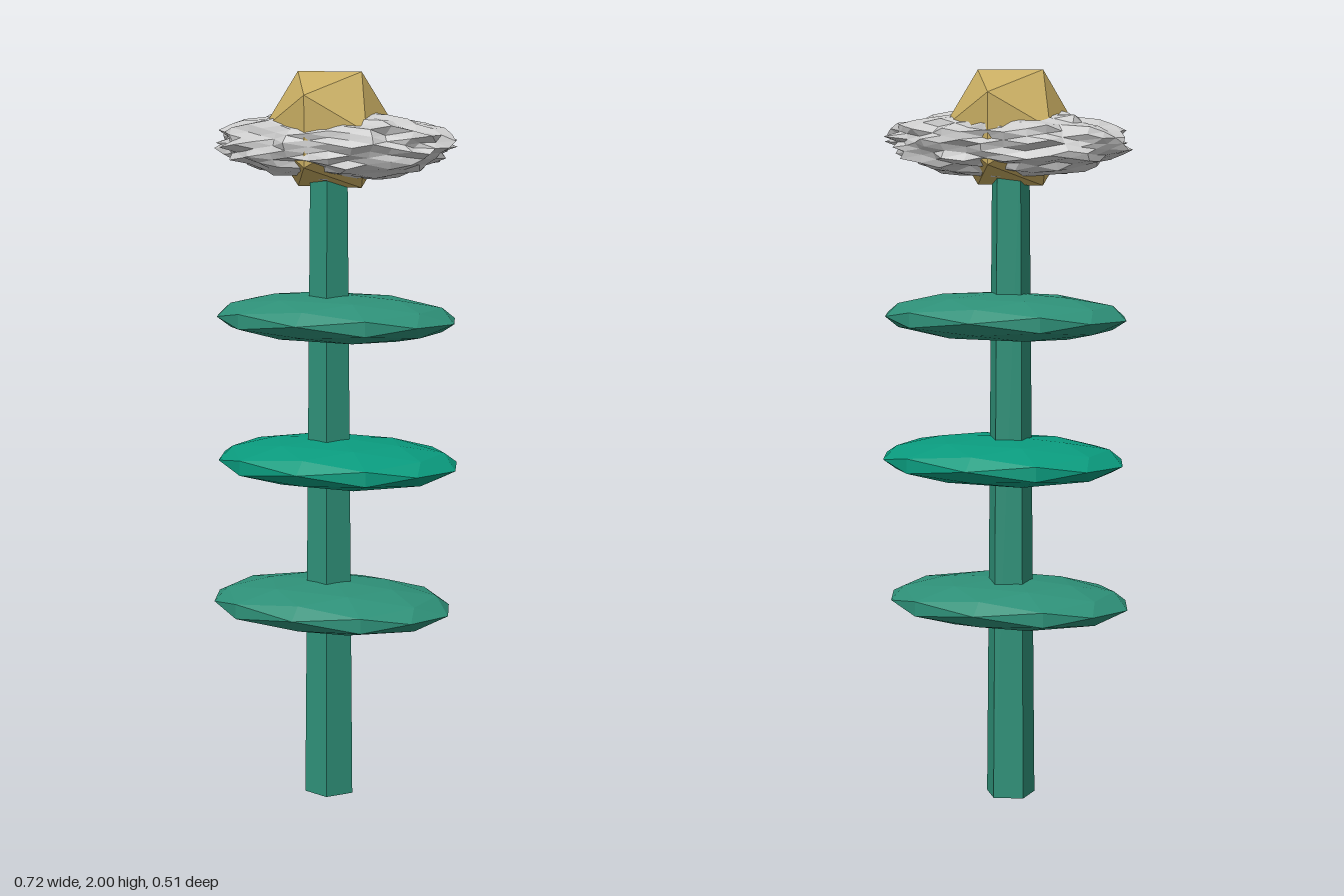
import * as THREE from 'three';
import { mergeVertices } from 'three/addons/utils/BufferGeometryUtils.js';

const AXIS_X = -0.0125;

const flat = (color) => new THREE.MeshStandardMaterial({ color, flatShading: true });

function add(group, name, geometry, material, x, y, z = 0) {
  const mesh = new THREE.Mesh(geometry, material);
  mesh.name = name;
  mesh.position.set(x, y, z);
  group.add(mesh);
  return mesh;
}

// Unit faceted ball whose shared corners are moved by a rule, then stretched
function shapedBall(detail, rule, sx, sy, sz) {
  const raw = new THREE.IcosahedronGeometry(1, detail);
  raw.deleteAttribute('normal');
  raw.deleteAttribute('uv');
  const ball = mergeVertices(raw, 1e-3);
  const pos = ball.attributes.position;
  const v = new THREE.Vector3();
  for (let i = 0; i < pos.count; i++) {
    rule(v.fromBufferAttribute(pos, i));
    pos.setXYZ(i, v.x * sx, v.y * sy, v.z * sz);
  }
  const out = ball.toNonIndexed();
  out.computeVertexNormals();
  return out;
}

// Small seeded generator
function seeded(seed) {
  let s = seed;
  return () => {
    s = (s * 16807) % 2147483647;
    return s / 2147483647;
  };
}

export function createModel() {
  const model = new THREE.Group();
  model.name = 'spikyFlower';
  const green = flat(0x2e9078);
  const emerald = flat(0x0a9b7e);

  // Tapered five-sided stem, one corner towards +x
  const stem = new THREE.CylinderGeometry(0.053, 0.07, 1.8, 5);
  stem.rotateY(Math.PI / 2);
  add(model, 'stem', stem, green, AXIS_X, 0.9);

  // Three flattened leaf discs, each slightly off the stem axis
  const widenRim = (v) => {
    if (Math.abs(v.y) > 0.2 && Math.abs(v.y) < 0.4) {
      v.x *= 1.07;
      v.z *= 1.07;
    }
  };
  const discs = [
    { name: 'lowerLeafDisc', x: 0, y: 0.545, z: 0.016, depth: 0.241, material: green },
    { name: 'middleLeafDisc', x: 0.01, y: 0.942, z: -0.002, depth: 0.251, material: emerald },
    { name: 'upperLeafDisc', x: -0.002, y: 1.337, z: -0.014, depth: 0.241, material: green },
  ];
  for (const d of discs) {
    add(model, d.name, shapedBall(1, widenRim, 0.352, 0.066, d.depth), d.material, d.x, d.y, d.z);
  }

  // Long spiky flower head, pointed to +x and blunt at -x
  const random = seeded(4217);
  const spike = (v) => {
    v.multiplyScalar(0.86 + 0.18 * Math.pow(random(), 1.3));
    v.x = THREE.MathUtils.clamp(v.x, -0.985, 1);
    v.y = THREE.MathUtils.clamp(v.y, -1, 1);
  };
  add(model, 'spikyHead', shapedBall(5, spike, 0.365, 0.096, 0.172), flat(0xcccccc), 0, 1.806);

  // Golden gem through the head
  add(model, 'gem', new THREE.IcosahedronGeometry(0.181, 0), flat(0xc8ad62), AXIS_X, 1.846);

  return model;
}
